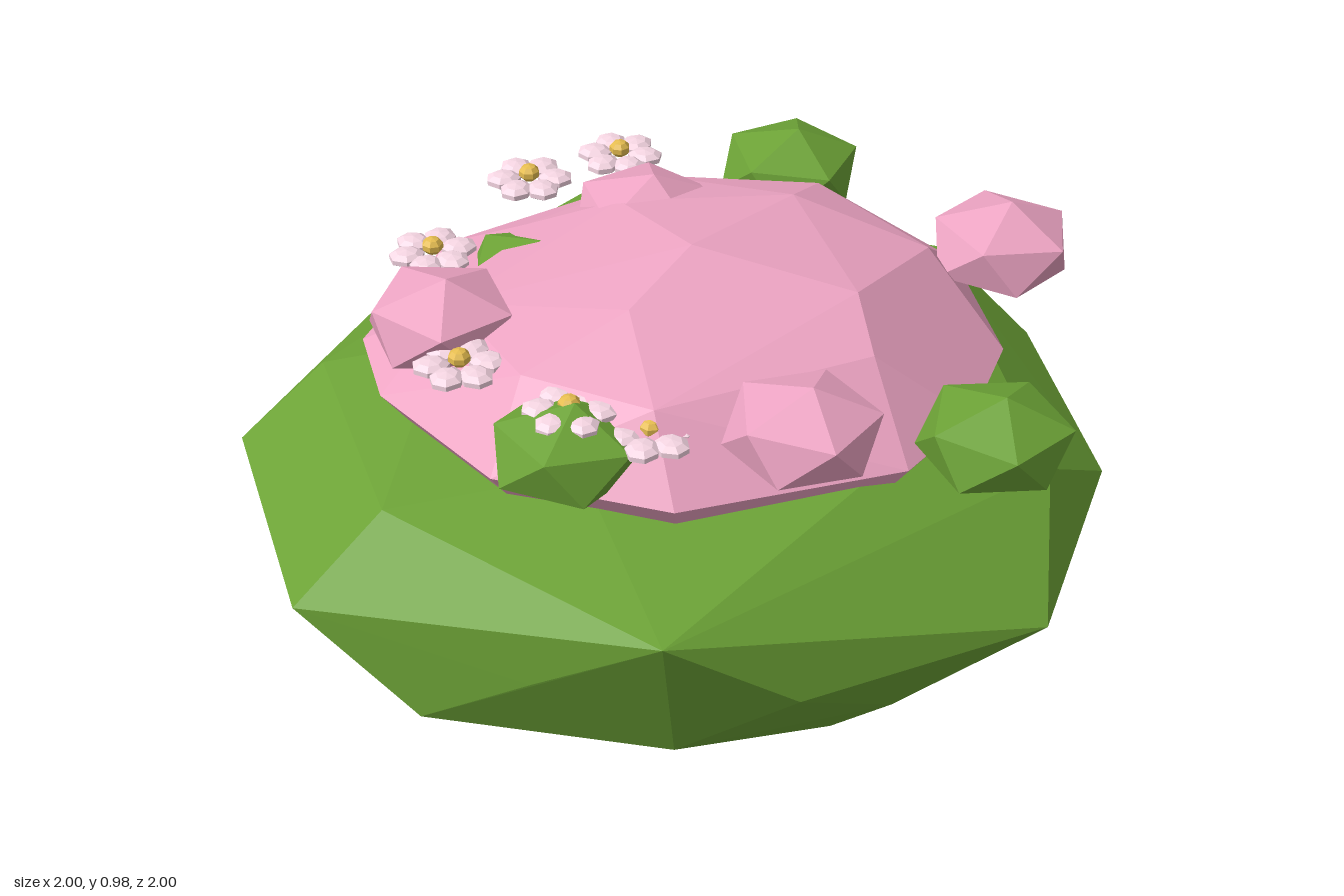
import * as THREE from 'three';
import { ConvexGeometry } from 'three/addons/geometries/ConvexGeometry.js';

const mat = (color) => new THREE.MeshStandardMaterial({ color, flatShading: true });
const GREEN = mat(0x6ca236), PINK = mat(0xeda4c3), PETAL = mat(0xf6d6e3), YELLOW = mat(0xe6bd50);

// Faceted boulder-like foliage from a few corner points [x, y, z]
function faceted(name, points, material) {
  const geo = new ConvexGeometry(points.map((p) => new THREE.Vector3(...p)));
  const mesh = new THREE.Mesh(geo, material);
  mesh.name = name;
  return mesh;
}

// Small leaf clump: squashed, slightly tilted icosahedron standing on a corner
function clump(name, x, y, z, turn, material) {
  const geo = new THREE.IcosahedronGeometry(1, 0);
  geo.rotateZ(-0.5536).rotateX(0.12).rotateY(turn).scale(0.18, 0.108, 0.18);
  const mesh = new THREE.Mesh(geo, material);
  mesh.name = name;
  mesh.position.set(x, y, z);
  return mesh;
}

// Six plump petals around a raised centre
function flower(x, y, z, turn) {
  const group = new THREE.Group();
  group.name = 'flower';
  const petalGeo = new THREE.SphereGeometry(0.044, 7, 5).scale(1, 0.42, 0.9);
  for (let i = 0; i < 6; i++) {
    const a = (i / 6) * Math.PI * 2;
    const petal = new THREE.Mesh(petalGeo, PETAL);
    petal.name = 'petal';
    petal.position.set(Math.cos(a) * 0.062, 0, Math.sin(a) * 0.062);
    petal.rotation.y = -a;
    group.add(petal);
  }
  const centre = new THREE.Mesh(new THREE.SphereGeometry(0.026, 7, 5).scale(1, 0.8, 1), YELLOW);
  centre.name = 'flowerCentre';
  centre.position.y = 0.018;
  group.add(centre);
  group.position.set(x, y, z);
  group.rotation.y = turn;
  return group;
}

export function createModel() {
  const model = new THREE.Group();
  model.name = 'floweringBush';

  // Wide green base
  model.add(faceted('bushBase', [
    // underside
    [-0.2, 0, 0.56], [-0.15, 0, 0.02], [0.02, 0.01, 0.3], [0.4, 0.05, 0.1], [0.1, 0.07, -0.44], [-0.45, 0.09, -0.1],
    // lower ring
    [-0.27, 0.22, 0.77], [0.28, 0.22, 0.75], [0.6, 0.2, 0.62], [-0.68, 0.22, 0.5], [-0.93, 0.21, 0],
    [0.82, 0.18, 0.02], [0.73, 0.2, -0.54], [0.27, 0.21, -0.71], [-0.27, 0.23, -0.74], [-0.74, 0.2, -0.52],
    // widest ring
    [-0.03, 0.4, 1], [0.53, 0.4, 0.78], [0.91, 0.4, 0.32], [1, 0.4, -0.32], [0.55, 0.42, -0.77],
    [-0.03, 0.4, -1], [-0.64, 0.42, -0.83], [-1, 0.4, -0.3], [-0.87, 0.4, 0.27], [-0.56, 0.4, 0.74],
    // shoulder ring
    [-0.8, 0.6, 0.57], [0.23, 0.59, 0.82], [0.86, 0.58, 0.08], [0.54, 0.58, -0.77],
    [-0.45, 0.57, -0.74], [-0.81, 0.6, -0.2],
    // crown
    [-0.5, 0.66, 0.1], [0, 0.68, 0.6], [0.42, 0.67, 0.3], [0.35, 0.66, -0.45], [-0.3, 0.65, -0.5],
  ], GREEN));

  // Pink blossom dome
  const rim = [[-0.03, -0.73], [-0.46, -0.59], [-0.6, -0.4], [-0.68, 0], [-0.53, 0.38], [-0.1, 0.67],
    [0.15, 0.66], [0.42, 0.56], [0.67, 0.25], [0.67, -0.1], [0.43, -0.55]];
  model.add(faceted('blossomDome', [
    ...rim.map(([x, z]) => [x, 0.7, z]),
    ...rim.map(([x, z]) => [x * 0.86, 0.57, z * 0.86]),
    [-0.52, 0.86, -0.05], [-0.45, 0.865, 0.26], [0, 0.87, 0.5], [0.44, 0.87, 0.33], [0.53, 0.86, -0.05],
    [0.33, 0.85, -0.38], [-0.02, 0.84, -0.48], [-0.38, 0.84, -0.38],
    [-0.28, 0.945, 0.05], [0.1, 0.935, 0.38], [0.34, 0.94, 0.02], [0.1, 0.915, -0.3], [-0.03, 0.98, 0.02],
  ], PINK));

  // Clumps sitting on the dome and around its edge
  [[-0.28, 0.84, 0.52, 0.4], [0.6, 0.84, 0.42, 0.9], [-0.44, 0.84, -0.36, 0.1], [0.18, 0.845, -0.29, 0.7]]
    .forEach((c) => model.add(clump('pinkClump', ...c, PINK)));
  [[0.04, 0.765, 0.79, 0.2], [0.68, 0.765, -0.25, 0.6], [-0.56, 0.765, 0.11, 1], [-0.1, 0.765, -0.39, 0.3]]
    .forEach((c) => model.add(clump('greenClump', ...c, GREEN)));

  // Flowers along the back and right edge
  [[-0.2, 0.8, -0.61, 0.5], [0.18, 0.81, -0.65, 0.2], [0.42, 0.8, -0.57, 0], [-0.55, 0.84, -0.2, 0.3],
    [-0.535, 0.84, 0.1, 0.1], [-0.46, 0.81, 0.26, 0.4]]
    .forEach((f) => model.add(flower(...f)));

  return model;
}
